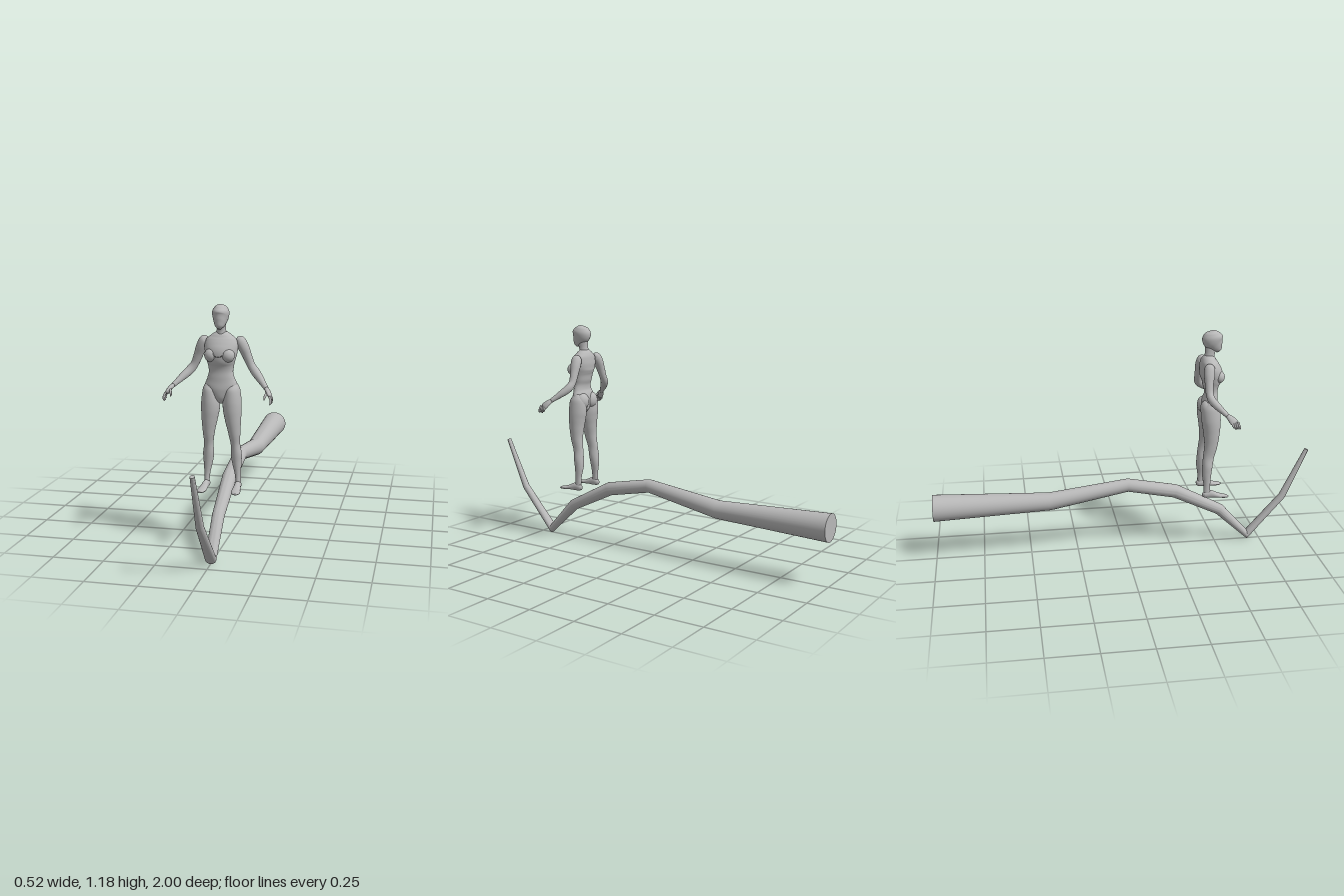
import * as THREE from 'three';
import { toCreasedNormals } from 'three/addons/utils/BufferGeometryUtils.js';

const X = new THREE.Vector3(1, 0, 0);
const Z = new THREE.Vector3(0, 0, 1);

// Skin elliptical rings along a path. Stations are [x, y, z, radiusU, radiusV];
// hint is the axis that radiusU follows, steps the smoothing between stations.
function loft(stations, { hint = X, sides = 28, steps = 5 } = {}) {
  const path = new THREE.CatmullRomCurve3(stations.map((s) => new THREE.Vector3(s[0], s[1], s[2])));
  const size = new THREE.CatmullRomCurve3(stations.map((s) => new THREE.Vector3(s[3], s[4], 0)), false, 'catmullrom', 0.4);
  const count = (stations.length - 1) * steps;
  const centers = [], radii = [];
  for (let i = 0; i <= count; i++) {
    centers.push(path.getPoint(i / count));
    radii.push(size.getPoint(i / count));
  }
  const positions = [], index = [];
  const heading = (i) => centers[i + 1].clone().sub(centers[i]).normalize();
  centers.forEach((c, i) => {
    const t = new THREE.Vector3();
    if (i > 0) t.add(heading(i - 1));
    if (i < count) t.add(heading(i));
    t.normalize();
    const u = hint.clone().addScaledVector(t, -hint.dot(t)).normalize();
    const v = t.clone().cross(u);
    for (let j = 0; j < sides; j++) {
      const a = (j / sides) * Math.PI * 2;
      const p = c.clone().addScaledVector(u, Math.cos(a) * radii[i].x).addScaledVector(v, Math.sin(a) * radii[i].y);
      positions.push(p.x, p.y, p.z);
    }
  });
  const first = positions.length / 3, last = first + 1;
  positions.push(...centers[0].toArray(), ...centers[count].toArray());
  for (let j = 0; j < sides; j++) {
    const k = (j + 1) % sides, end = count * sides;
    for (let i = 0; i < count; i++) {
      const a = i * sides + j, b = i * sides + k;
      index.push(a, b, a + sides, b, b + sides, a + sides);
    }
    index.push(first, k, j, last, end + j, end + k);
  }
  const geo = new THREE.BufferGeometry();
  geo.setAttribute('position', new THREE.Float32BufferAttribute(positions, 3));
  geo.setIndex(index);
  geo.computeVertexNormals();
  return geo;
}

// Horizontal slices given as [y, zFront, zBack, halfWidth]
const slices = (rows) => rows.map(([y, f, b, w]) => [0, y, (f + b) / 2, w, (f - b) / 2]);
const mirror = (rows, s) => rows.map(([x, ...rest]) => [x * s, ...rest]);

export function createModel() {
  const model = new THREE.Group();
  model.name = 'figureOnBranch';
  const grey = new THREE.MeshStandardMaterial({ color: 0xb8b8b8 });
  grey.name = 'plain grey';
  const figure = new THREE.Group();
  figure.name = 'figure';
  model.add(figure);

  const add = (parent, name, geo) => {
    const mesh = new THREE.Mesh(geo, grey);
    mesh.name = name;
    parent.add(mesh);
    return mesh;
  };
  const ball = (name, pos, scale) => {
    const mesh = add(figure, name, new THREE.SphereGeometry(1, 28, 20));
    mesh.position.set(...pos);
    mesh.scale.set(...scale);
  };

  // Bent branch, widening towards the back
  const branch = loft([
    [0, 0.51, 0.99, 0.011, 0.011],
    [0, 0.245, 0.87, 0.019, 0.019],
    [0, 0.027, 0.68, 0.028, 0.026],
    [0, 0.187, 0.52, 0.03, 0.03],
    [0, 0.31, 0.275, 0.036, 0.036],
    [0, 0.36, 0.02, 0.035, 0.035],
    [0, 0.293, -0.395, 0.047, 0.047],
    [0, 0.293, -1, 0.07, 0.07],
  ], { sides: 32, steps: 1 });
  add(model, 'branch', toCreasedNormals(branch, 0.4));

  // Head, neck and torso
  add(figure, 'head', loft(slices([
    [1.071, 0.489, 0.473, 0.008],
    [1.085, 0.502, 0.455, 0.021],
    [1.105, 0.507, 0.43, 0.03],
    [1.13, 0.508, 0.403, 0.038],
    [1.15, 0.503, 0.398, 0.039],
    [1.17, 0.487, 0.409, 0.03],
    [1.179, 0.47, 0.424, 0.018],
    [1.183, 0.452, 0.44, 0.004],
  ])));
  add(figure, 'neck', loft(slices([
    [1.02, 0.468, 0.405, 0.03],
    [1.06, 0.465, 0.414, 0.022],
    [1.09, 0.472, 0.415, 0.021],
    [1.12, 0.475, 0.415, 0.02],
  ])));
  add(figure, 'torso', loft(slices([
    [0.718, 0.45, 0.425, 0.008],
    [0.73, 0.47, 0.412, 0.02],
    [0.755, 0.485, 0.408, 0.045],
    [0.785, 0.489, 0.405, 0.07],
    [0.81, 0.488, 0.408, 0.077],
    [0.84, 0.486, 0.418, 0.065],
    [0.87, 0.485, 0.418, 0.058],
    [0.9, 0.492, 0.408, 0.062],
    [0.93, 0.505, 0.4, 0.07],
    [0.96, 0.508, 0.392, 0.077],
    [0.99, 0.495, 0.389, 0.08],
    [1.02, 0.48, 0.392, 0.072],
    [1.04, 0.47, 0.4, 0.05],
    [1.056, 0.458, 0.412, 0.026],
  ]), { sides: 40 }));

  // Raised round seam on the chest
  const ring = [];
  for (let i = 0; i < 32; i++) {
    const a = (i / 32) * Math.PI * 2;
    const x = Math.cos(a) * 0.029, dy = Math.sin(a) * 0.029;
    const curve = 0.054 * (1 - Math.sqrt(1 - (x / 0.08) ** 2));
    ring.push(new THREE.Vector3(x, 0.974 + dy, 0.503 - 0.43 * dy - curve));
  }
  add(figure, 'chestSeam', new THREE.TubeGeometry(new THREE.CatmullRomCurve3(ring, true), 64, 0.0015, 6, true));

  for (const s of [1, -1]) {
    const side = s > 0 ? 'left' : 'right';
    ball(side + 'Breast', [s * 0.04, 0.95, 0.483], [0.032, 0.032, 0.029]);
    ball(side + 'Buttock', [s * 0.037, 0.782, 0.426], [0.04, 0.044, 0.035]);

    // Leg from hip to ankle
    add(figure, side + 'Leg', loft(mirror([
      [0.052, 0.82, 0.445, 0.02, 0.02],
      [0.053, 0.785, 0.444, 0.036, 0.045],
      [0.052, 0.73, 0.446, 0.044, 0.05],
      [0.053, 0.69, 0.449, 0.044, 0.047],
      [0.057, 0.64, 0.45, 0.038, 0.041],
      [0.062, 0.58, 0.447, 0.029, 0.034],
      [0.065, 0.52, 0.436, 0.022, 0.029],
      [0.068, 0.47, 0.431, 0.026, 0.027],
      [0.07, 0.43, 0.428, 0.023, 0.025],
      [0.075, 0.37, 0.43, 0.0145, 0.018],
      [0.077, 0.335, 0.431, 0.0125, 0.018],
      [0.078, 0.308, 0.433, 0.012, 0.018],
    ], s)));
    add(figure, side + 'Foot', loft(mirror([
      [0.077, 0.311, 0.407, 0.006, 0.01],
      [0.077, 0.314, 0.42, 0.014, 0.018],
      [0.078, 0.316, 0.45, 0.015, 0.021],
      [0.08, 0.309, 0.485, 0.019, 0.013],
      [0.083, 0.304, 0.515, 0.022, 0.009],
      [0.086, 0.302, 0.535, 0.017, 0.007],
      [0.087, 0.301, 0.545, 0.006, 0.004],
    ], s)));

    // Arm from shoulder to wrist
    add(figure, side + 'Arm', loft(mirror([
      [0.068, 1.022, 0.425, 0.012, 0.01],
      [0.084, 1.012, 0.422, 0.026, 0.025],
      [0.1, 0.983, 0.418, 0.028, 0.026],
      [0.118, 0.94, 0.414, 0.022, 0.022],
      [0.137, 0.895, 0.413, 0.019, 0.019],
      [0.157, 0.868, 0.42, 0.02, 0.021],
      [0.18, 0.845, 0.44, 0.019, 0.019],
      [0.205, 0.82, 0.468, 0.014, 0.014],
      [0.223, 0.802, 0.488, 0.011, 0.011],
    ], s), { hint: Z }));

    // Hand with curled fingers and thumb
    const hand = new THREE.Group();
    hand.name = side + 'Hand';
    figure.add(hand);
    add(hand, 'palm', loft(mirror([
      [0.22, 0.805, 0.485, 0.01, 0.01],
      [0.234, 0.79, 0.502, 0.017, 0.011],
      [0.244, 0.774, 0.517, 0.02, 0.009],
      [0.247, 0.766, 0.522, 0.014, 0.005],
    ], s), { hint: Z }));
    for (let k = 0; k < 4; k++) {
      const z = 0.505 + k * 0.0105, drop = k === 0 ? 0.006 : 0;
      add(hand, 'finger', loft(mirror([
        [0.245, 0.776, z, 0.0055, 0.0055],
        [0.253, 0.76, z + 0.005, 0.0055, 0.0055],
        [0.253, 0.747 + drop, z + 0.009, 0.005, 0.005],
        [0.249, 0.738 + drop, z + 0.011, 0.002, 0.002],
      ], s), { hint: Z, sides: 12, steps: 4 }));
    }
    add(hand, 'thumb', loft(mirror([
      [0.232, 0.795, 0.505, 0.007, 0.007],
      [0.227, 0.782, 0.522, 0.006, 0.006],
      [0.222, 0.767, 0.533, 0.005, 0.005],
      [0.222, 0.758, 0.538, 0.002, 0.002],
    ], s), { hint: Z, sides: 12, steps: 4 }));
  }
  return model;
}
